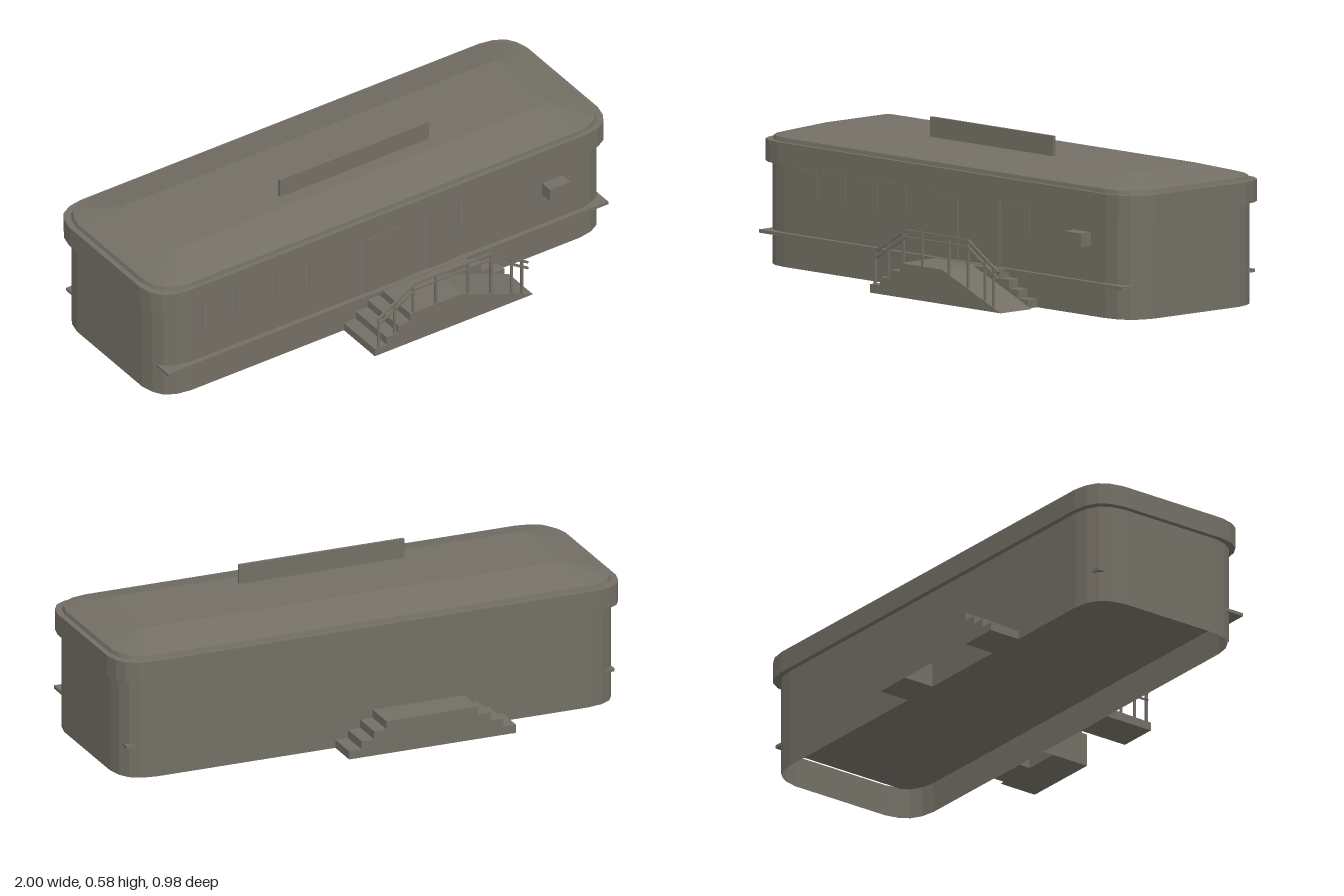
import * as THREE from 'three';

const H = 0.125; // height of the landings above the ground

export function createModel() {
  const model = new THREE.Group();
  const paint = new THREE.MeshStandardMaterial({ color: 0x736f65 });
  paint.name = 'warm grey';

  function add(name, geometry, parent = model) {
    const mesh = new THREE.Mesh(geometry, paint);
    mesh.name = name;
    parent.add(mesh);
    return mesh;
  }

  // Box given by its limits on each axis
  function box(name, x0, x1, y0, y1, z0, z1, parent = model, openBottom = false) {
    const g = new THREE.BoxGeometry(x1 - x0, y1 - y0, z1 - z0);
    if (openBottom) {
      const idx = Array.from(g.index.array);
      idx.splice(18, 6);
      g.setIndex(idx);
      g.clearGroups();
    }
    g.translate((x0 + x1) / 2, (y0 + y1) / 2, (z0 + z1) / 2);
    return add(name, g, parent);
  }

  // Rectangle with faceted round corners, running front, left, back, right
  const corner = [[0.13, 0], [0.075, 0.01], [0.035, 0.033], [0.012, 0.07], [0, 0.12]];
  function ring(y, x, z0, z1, k = 1) {
    const pts = [];
    for (const [sx, sz] of [[1, 1], [1, -1], [-1, -1], [-1, 1]]) {
      const list = sx * sz > 0 ? corner : [...corner].reverse();
      for (const [dx, dz] of list) {
        pts.push([sx * (x - dx * k), y, sz > 0 ? z1 - dz * k : z0 + dz * k]);
      }
    }
    return pts;
  }

  // Flat-shaded skin through a stack of rings
  function loft(rings, { top = false, bottom = false, inward = false } = {}) {
    const out = [];
    const tri = (a, b, c) => out.push(...a, ...(inward ? c : b), ...(inward ? b : c));
    const n = rings[0].length;
    const mid = (r) => [0, r[0][1], (r[0][2] + r[n / 2][2]) / 2];
    const last = rings[rings.length - 1];
    for (let i = 0; i < n; i++) {
      const j = (i + 1) % n;
      for (let k = 0; k + 1 < rings.length; k++) {
        tri(rings[k][i], rings[k][j], rings[k + 1][j]);
        tri(rings[k][i], rings[k + 1][j], rings[k + 1][i]);
      }
      if (top) tri(mid(last), last[i], last[j]);
      if (bottom) tri(mid(rings[0]), rings[0][j], rings[0][i]);
    }
    const g = new THREE.BufferGeometry();
    g.setAttribute('position', new THREE.Float32BufferAttribute(out, 3));
    g.computeVertexNormals();
    return g;
  }

  // Walls, open below the floor
  add('walls', loft([ring(0, 0.98, -0.365, 0.29), ring(0.4, 0.98, -0.365, 0.29)]));
  add('skirtInside', loft([ring(0, 0.977, -0.362, 0.287), ring(0.12, 0.977, -0.362, 0.287)], { inward: true }));
  box('floorPlate', -0.96, 0.96, 0.115, 0.127, -0.345, 0.31);

  // Fascia and hipped roof
  add('fascia', loft([ring(0.375, 1, -0.385, 0.305), ring(0.455, 1, -0.385, 0.305)], { top: true, bottom: true }));
  add('roof', loft([
    ring(0.455, 0.98, -0.367, 0.29),
    ring(0.47, 0.975, -0.362, 0.287),
    ring(0.512, 0.82, -0.2, 0.13, 0.2),
  ], { top: true }));
  box('roofBoard', -0.31, 0.34, 0.505, 0.585, 0.06, 0.072);

  // Doors and windows on the front
  box('door', -0.083, 0.073, 0.127, 0.36, 0.288, 0.293);
  box('sideDoor', 0.195, 0.295, 0.127, 0.375, 0.288, 0.293);
  for (const x of [-0.8, -0.65, -0.48, -0.33, 0.32]) {
    box('window', x, x + 0.13, 0.26, 0.37, 0.288, 0.293);
  }
  box('airConditioner', 0.685, 0.775, 0.255, 0.305, 0.28, 0.34);

  // Flight of steps rising from x0 towards x1
  function steps(name, x0, x1, z0, z1, parent) {
    const count = 3;
    const run = (x1 - x0) / count;
    for (let i = 0; i < count; i++) {
      const a = x0 + run * i, b = a + run;
      box(name, Math.min(a, b), Math.max(a, b), 0, (H * (i + 1)) / 4, z0, z1, parent);
    }
  }

  // Back landing with steps at both ends
  const back = new THREE.Group();
  back.name = 'backPorch';
  model.add(back);
  box('backLanding', -0.36, 0, 0, H, -0.49, -0.365, back, true);
  steps('backStep', -0.51, -0.36, -0.49, -0.365, back);
  steps('backStep', 0.147, 0, -0.49, -0.365, back);

  // Front landing, steps and ramp
  const front = new THREE.Group();
  front.name = 'frontPorch';
  model.add(front);
  box('frontLanding', -0.025, 0.2, 0, H, 0.29, 0.488, front, true);
  box('sideLanding', 0.2, 0.34, 0, H, 0.29, 0.335, front, true);
  steps('frontStep', -0.18, -0.025, 0.29, 0.488, front);
  steps('sideStep', 0.49, 0.34, 0.29, 0.335, front);
  const wedge = new THREE.Shape([[0.2, 0], [0.51, 0], [0.2, H]].map((p) => new THREE.Vector2(...p)));
  const ramp = add('ramp', new THREE.ExtrudeGeometry(wedge, { depth: 0.153, bevelEnabled: false }), front);
  ramp.position.z = 0.335;

  // Railing: two rails that follow the steps, landing and ramp
  const railing = new THREE.Group();
  railing.name = 'railing';
  front.add(railing);
  const path = [[-0.165, 0.15], [0, 0.246], [0.33, 0.246], [0.49, 0.146]];
  function bar(name, a, b) {
    const d = new THREE.Vector2(b[0] - a[0], b[1] - a[1]);
    const m = add(name, new THREE.BoxGeometry(d.length() + 0.004, 0.008, 0.008), railing);
    m.position.set((a[0] + b[0]) / 2, (a[1] + b[1]) / 2, 0.482);
    m.rotation.z = d.angle();
  }
  for (const drop of [0, 0.025]) {
    for (let i = 0; i < 3; i++) {
      bar('rail', [path[i][0], path[i][1] - drop], [path[i + 1][0], path[i + 1][1] - drop]);
    }
  }
  const posts = [
    [-0.16, 0.03, 0.15], [-0.09, 0.06, 0.193], [-0.01, H, 0.24], [0.09, H, 0.246],
    [0.23, 0.11, 0.246], [0.33, 0.07, 0.246], [0.42, 0.035, 0.19], [0.465, 0.015, 0.162],
  ];
  for (const [x, y0, y1] of posts) box('railPost', x - 0.004, x + 0.004, y0, y1, 0.478, 0.486, railing);

  return model;
}
